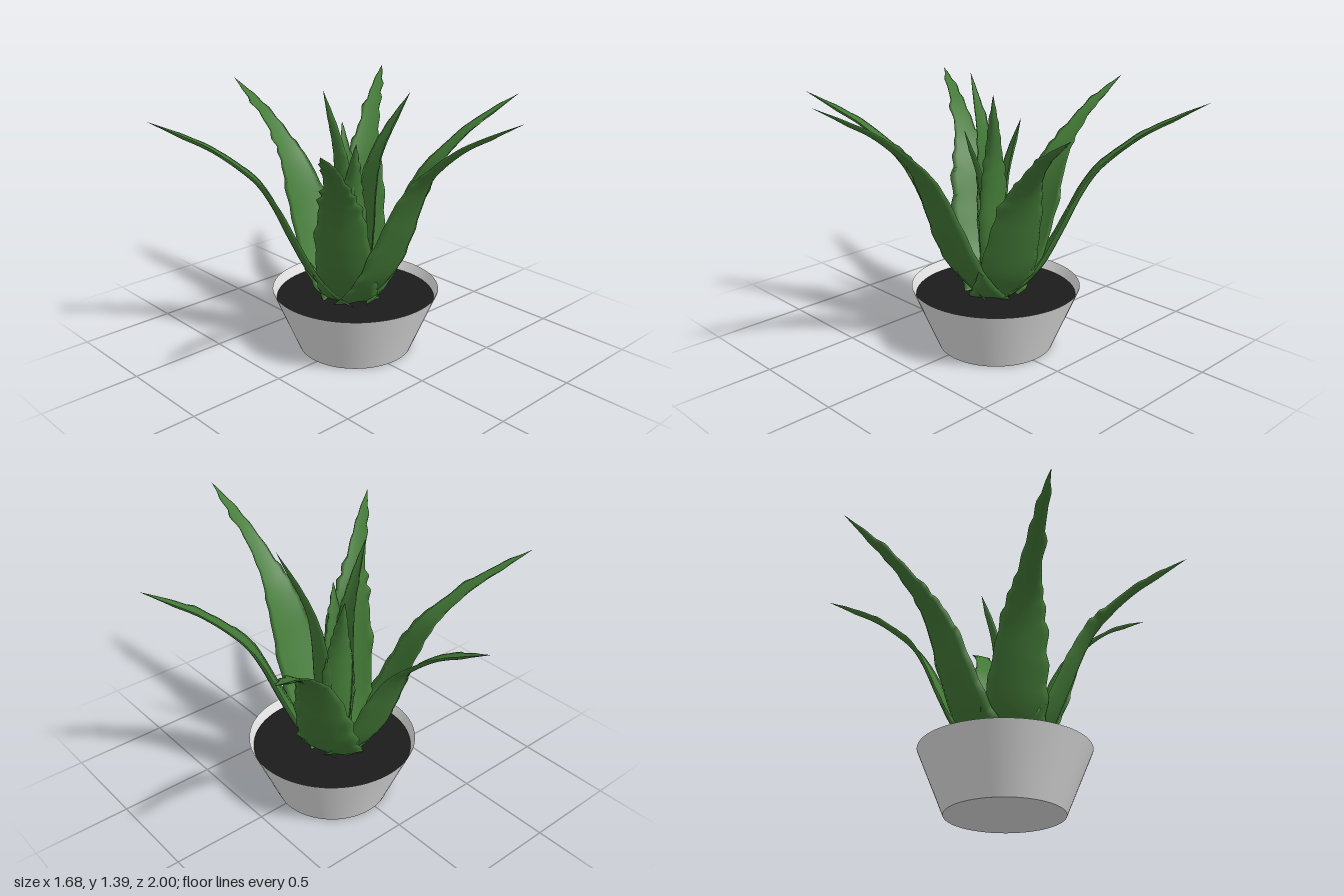
import * as THREE from 'three';

const leafGreen = new THREE.MeshStandardMaterial({ color: 0x437a37, side: THREE.DoubleSide });
leafGreen.name = 'leaf green';
const potGrey = new THREE.MeshStandardMaterial({ color: 0xe4e4e4, side: THREE.DoubleSide });
potGrey.name = 'pot grey';
const soilBlack = new THREE.MeshStandardMaterial({ color: 0x1b1b1b });
soilBlack.name = 'soil black';

const BASE_Y = 0.26;

// Leaf profiles: outward fraction, height fraction, half width
const OUTER = [
  [0.04, 0, 0.145], [0.125, 0.07, 0.155], [0.22, 0.18, 0.153], [0.315, 0.36, 0.138], [0.405, 0.55, 0.112],
  [0.475, 0.66, 0.086], [0.55, 0.735, 0.062], [0.70, 0.85, 0.043], [0.85, 0.93, 0.027], [1, 1, 0.001],
];
const INNER = [
  [0.12, 0, 0.05], [0.26, 0.15, 0.07], [0.32, 0.35, 0.085], [0.36, 0.55, 0.075],
  [0.45, 0.7, 0.052], [0.68, 0.85, 0.03], [1, 1, 0.001],
];

// Small repeatable noise for the toothed leaf edges
const noise = (n) => {
  const v = Math.sin(n * 127.1 + 11.7) * 43758.5453;
  return v - Math.floor(v);
};

// Toothed, slightly cupped, fleshy leaf from its root (x, z) to its tip (x, y, z).
// The blade is wide across the facing direction, which is outward unless given.
function makeLeaf(name, { tip, root = [0.02, -0.035], facing }, profile, cup, toothSize, seed) {
  const dx = tip[0] - root[0], dz = tip[2] - root[1];
  const reach = Math.hypot(dx, dz), rise = tip[1] - BASE_Y;
  const ux = dx / reach, uz = dz / reach;
  const [fx, fz] = facing ?? [ux, uz];
  const curve = new THREE.CatmullRomCurve3(
    profile.map(([r, h, w]) => new THREE.Vector3(r * reach, BASE_Y + h * rise, w)));
  const rows = 72, cols = 8, ring = cols * 2, pos = [], index = [];
  for (let i = 0; i <= rows; i++) {
    const t = i / rows;
    const p = curve.getPoint(t), d = curve.getTangent(t);
    const len = Math.hypot(d.x, d.y);
    const nr = -d.y / len, ny = d.x / len; // inner face direction
    const thick = 0.016 * Math.min(1, (1 - t) * 8);
    for (let j = 0; j < ring; j++) {
      // across the inner face, then back across the outer face
      const s = j <= cols ? (j / cols) * 2 - 1 : 3 - (j / cols) * 2;
      // a soft tooth every six rows, each side different
      const phase = i + (s > 0 ? 3 : 0);
      const size = noise(Math.floor(phase / 6) + seed * 31 + (s > 0 ? 7 : 0));
      const bump = [0, 0.2, 0.5, 0.85, 1, 0.55][phase % 6] * size;
      const tooth = toothSize * (bump - 0.25) * Math.min(1, (1 - t) * 6);
      const side = s * (p.z + tooth * s * s);
      let lift = cup * (1 - 0.6 * t) * p.z * s * s;
      if (j > cols) lift -= thick * (1 - s * s);
      const r = p.x + nr * lift;
      pos.push(root[0] + ux * r + fz * side, p.y + ny * lift, root[1] + uz * r - fx * side);
      if (i < rows) {
        const a = i * ring + j, b = i * ring + (j + 1) % ring;
        index.push(a, a + ring, b, a + ring, b + ring, b);
      }
    }
  }
  const geo = new THREE.BufferGeometry();
  geo.setAttribute('position', new THREE.Float32BufferAttribute(pos, 3));
  geo.setIndex(index);
  geo.computeVertexNormals();
  const mesh = new THREE.Mesh(geo, leafGreen);
  mesh.name = name;
  return mesh;
}

export function createModel() {
  const model = new THREE.Group();
  model.name = 'pottedSucculent';

  // Tapered pot, open at the top
  const pot = new THREE.Group();
  pot.name = 'pot';
  pot.position.set(0.045, 0, -0.025);
  const wall = new THREE.Mesh(new THREE.CylinderGeometry(0.43, 0.295, 0.325, 64, 1, true), potGrey);
  wall.name = 'potWall';
  wall.position.y = 0.1625;
  const bottom = new THREE.Mesh(new THREE.CircleGeometry(0.295, 64), potGrey);
  bottom.name = 'potBottom';
  bottom.rotation.x = Math.PI / 2;
  const soil = new THREE.Mesh(new THREE.CircleGeometry(0.409, 64), soilBlack);
  soil.name = 'soil';
  soil.rotation.x = -Math.PI / 2;
  soil.position.y = 0.275;
  pot.add(wall, bottom, soil);
  model.add(pot);

  // Six long arching outer leaves
  const outerLeaves = {
    frontLeaf: { tip: [0.015, 1.385, 1] },
    backLeaf: { tip: [0.04, 1.275, -1], root: [0.02, -0.055] },
    leftBackLeaf: { tip: [0.84, 1.29, -0.64], root: [0.035, -0.065] },
    leftFrontLeaf: { tip: [0.84, 1.28, 0.35], root: [0.035, -0.025] },
    rightBackLeaf: { tip: [-0.84, 1.27, -0.48] },
    rightFrontLeaf: { tip: [-0.7, 1.295, 0.56] },
  };
  Object.entries(outerLeaves).forEach(([name, leaf], i) =>
    model.add(makeLeaf(name, leaf, OUTER, 0.16, 0.02, i + 1)));

  // Upright young leaves in the heart of the rosette
  const innerLeaves = [
    { tip: [-0.15, 1.38, -0.04] },
    { tip: [0.22, 1.35, 0.17], facing: [0.98, 0.2] },
    { tip: [0.08, 1.17, -0.16] },
    { tip: [-0.06, 1.13, 0.09] },
  ];
  innerLeaves.forEach((leaf, i) =>
    model.add(makeLeaf('innerLeaf' + (i + 1), leaf, INNER, 0.35, 0.01, i + 9)));

  return model;
}
